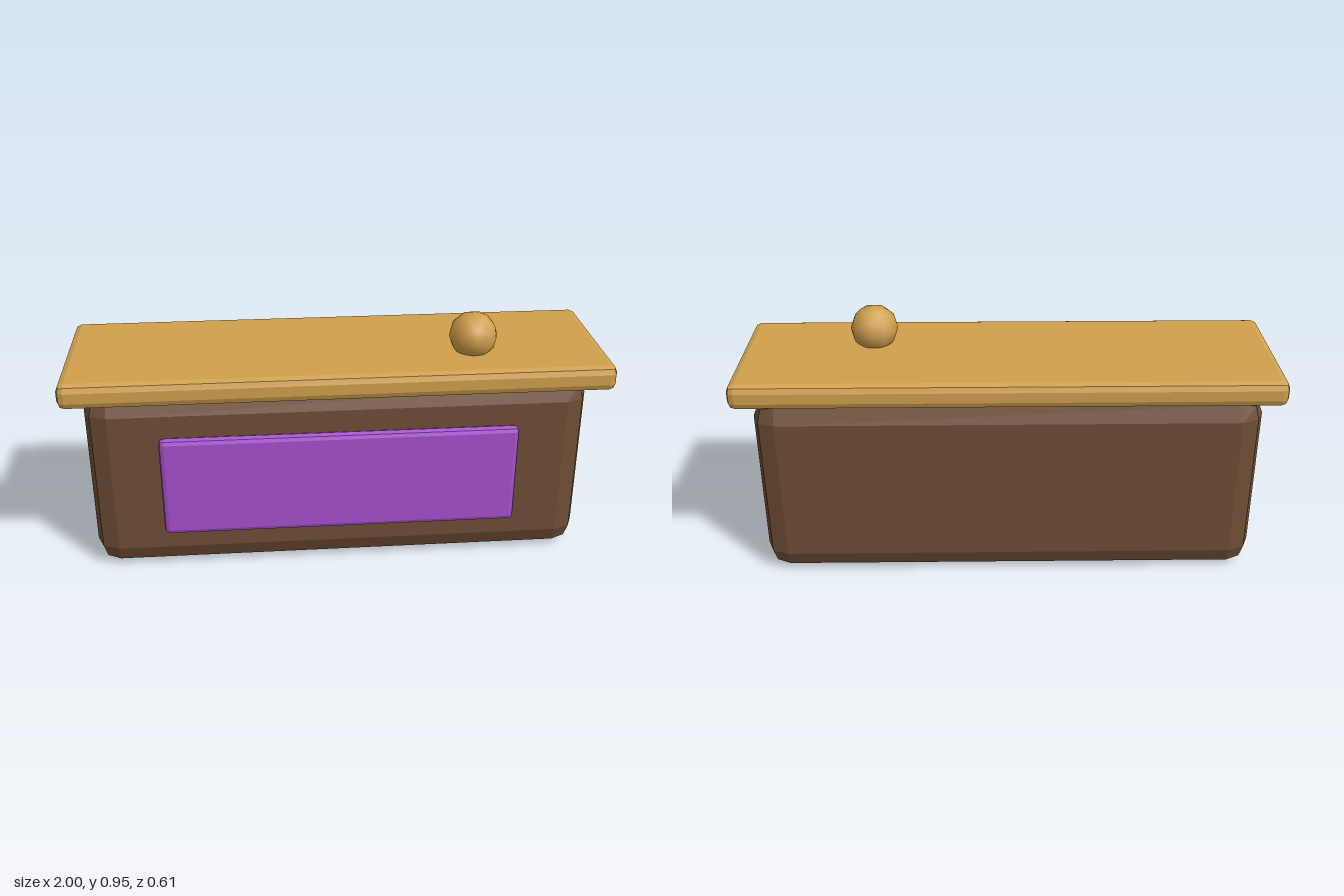
import * as THREE from 'three';
import { RoundedBoxGeometry } from 'three/addons/geometries/RoundedBoxGeometry.js';

function material(name, color) {
  const m = new THREE.MeshStandardMaterial({ color });
  m.name = name;
  return m;
}

// Box with two-step rounded edges and faceted normals
function facetedBox(w, h, d, radius) {
  const g = new RoundedBoxGeometry(w, h, d, 1, radius);
  g.computeVertexNormals();
  return g;
}

export function createModel() {
  const brown = material('brown wood', 0x6f4e35);
  const gold = material('golden wood', 0xd0a04c);
  const purple = material('purple', 0xa650cf);

  const model = new THREE.Group();
  model.name = 'counter';
  const add = (name, geometry, mat, x, y, z) => {
    const mesh = new THREE.Mesh(geometry, mat);
    mesh.name = name;
    mesh.position.set(x, y, z);
    model.add(mesh);
  };

  // Counter body, its top edge tucked into the slab
  add('body', facetedBox(1.86, 0.725, 0.532, 0.086), brown, 0, 0.3625, -0.026);
  // Overhanging slab
  add('counterTop', facetedBox(2, 0.095, 0.61, 0.028), gold, 0, 0.7525, 0);
  // Raised panel on the front
  add('frontPanel', facetedBox(1.325, 0.396, 0.042, 0.019), purple, 0, 0.363, 0.262);
  // Faceted ball resting on the slab
  add('ball', new THREE.IcosahedronGeometry(0.09, 1), gold, 0.505, 0.858, 0.09);

  return model;
}
